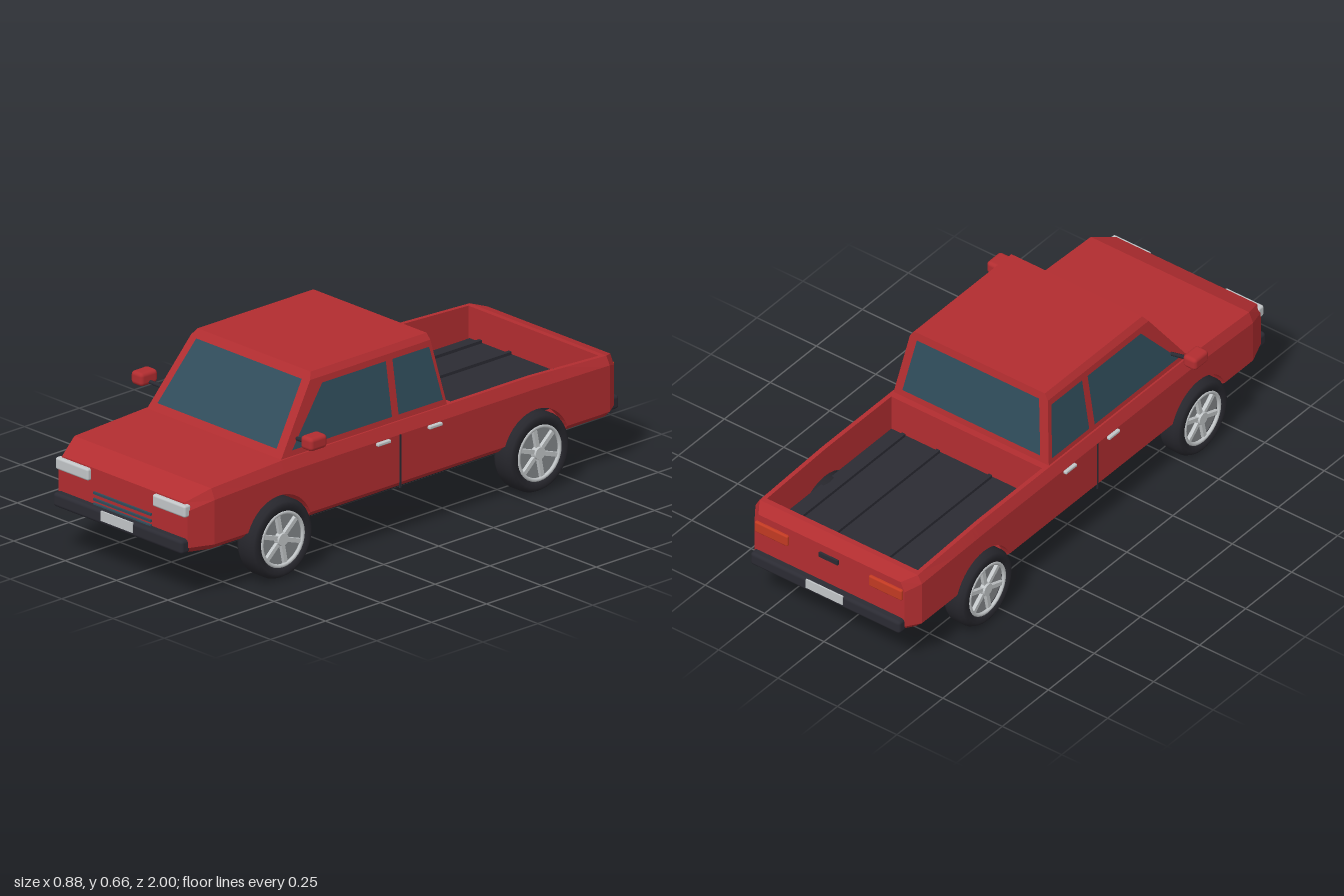
import * as THREE from 'three';
import { RoundedBoxGeometry } from 'three/addons/geometries/RoundedBoxGeometry.js';

const mat = (name, color, extra = {}) => Object.assign(new THREE.MeshStandardMaterial({ color, ...extra }), { name });

export function createModel() {
  const truck = new THREE.Group();
  truck.name = 'pickupTruck';
  const red = mat('redPaint', 0xb22d30);
  const glass = mat('glass', 0x304d5b, { side: THREE.DoubleSide });
  const dark = mat('darkTrim', 0x2b2b33);
  const black = mat('tyreRubber', 0x26262c);
  const light = mat('lightTrim', 0xc2c6c8);
  const grey = mat('rimGrey', 0x83878a);
  const lamp = mat('tailLamp', 0xc23a22);

  const add = (name, geo, material, x = 0, y = 0, z = 0, parent = truck) => {
    const m = new THREE.Mesh(geo, material);
    m.name = name;
    m.position.set(x, y, z);
    parent.add(m);
    return m;
  };
  const box = (name, material, w, h, d, x, y, z, r = 0) => add(name,
    r ? new RoundedBoxGeometry(w, h, d, 2, r) : new THREE.BoxGeometry(w, h, d), material, x, y, z);

  // Flat-shaded triangles from a list of corner points
  const facets = (tris) => {
    const g = new THREE.BufferGeometry();
    g.setAttribute('position', new THREE.Float32BufferAttribute(tris.flat(), 3));
    g.computeVertexNormals();
    return g;
  };
  const fan = (p) => p.slice(2).flatMap((q, i) => [p[0], p[i + 1], q]);
  // Capped skin over successive convex rings
  const loft = (rings) => {
    const t = [...fan([...rings[0]].reverse()), ...fan(rings[rings.length - 1])];
    for (let k = 0; k + 1 < rings.length; k++) {
      const a = rings[k], b = rings[k + 1], n = a.length;
      for (let i = 0; i < n; i++) {
        const j = (i + 1) % n;
        t.push(a[i], a[j], b[j], a[i], b[j], b[i]);
      }
    }
    return facets(t);
  };

  // Body stations: z, half width, shoulder height, top height
  const stations = [
    [-0.97, 0.316, 0.345, 0.38], [-0.92, 0.35, 0.365, 0.395], [-0.58, 0.35, 0.37, 0.41],
    [0.55, 0.35, 0.37, 0.41], [0.88, 0.35, 0.358, 0.395], [0.97, 0.314, 0.33, 0.357],
  ];
  const wheelZ = 0.585, hubY = 0.145, archR = 0.152;
  const section = (z) => {
    let i = 0;
    while (i < stations.length - 2 && z > stations[i + 1][0]) i++;
    const a = stations[i], b = stations[i + 1], f = (z - a[0]) / (b[0] - a[0]);
    const [, w, shoulder, top] = a.map((v, k) => v + (b[k] - v) * f);
    const d = Math.abs(Math.abs(z) - wheelZ);
    const bottom = d < archR ? Math.max(0.177, hubY + Math.sqrt(archR * archR - d * d)) : 0.177;
    return { w, shoulder, top, bottom };
  };
  const outer = (z) => {
    const { w, shoulder, top, bottom } = section(z);
    return [[w - 0.025, bottom, z], [w, Math.max(bottom, 0.2), z], [w, shoulder, z], [w - 0.017, top, z]];
  };
  const flip = (ring) => ring.map(([x, y, z]) => [-x, y, z]).reverse();
  const fullRing = (z) => [...outer(z), ...flip(outer(z))];
  const archZ = (c) => Array.from({ length: 19 }, (_, i) =>
    c - archR * Math.cos(0.21 + (Math.PI - 0.42) * i / 18));

  // Front body with wheel tunnel, tail panel and bed walls
  add('frontBody', loft([-0.225, ...archZ(wheelZ), 0.88, 0.97].map(fullRing)), red);
  add('tailgate', loft([-0.97, -0.92, -0.9].map(fullRing)), red);
  const wallRings = [-0.9, ...archZ(-wheelZ), -0.225].map((z) => {
    const { bottom, top } = section(z);
    return [[0.317, bottom, z], ...outer(z), [0.317, top, z]];
  });
  add('bedWallLeft', loft(wallRings), red);
  add('bedWallRight', loft(wallRings.map(flip)), red);
  for (const [z, d] of [[-0.82, 0.16], [-0.33, 0.2]]) box('bedUnderside', red, 0.636, 0.08, d, 0, 0.217, z);

  // Ribbed bed floor
  box('bedFloor', dark, 0.622, 0.02, 0.67, 0, 0.272, -0.567);
  for (const x of [-0.255, -0.11, 0.11, 0.255]) box('bedRib', dark, 0.014, 0.012, 0.66, x, 0.287, -0.567);

  // Cab shell
  const frontZ = (y) => 0.555 - 0.72 * (y - 0.41);
  const backZ = (y) => -0.2 + 0.18 * (y - 0.41);
  const sideX = (y) => 0.328 - 0.038 * (y - 0.4) / 0.24;
  const cabRing = ([y, x]) => [[x, y, frontZ(y)], [x, y, backZ(y)], [-x, y, backZ(y)], [-x, y, frontZ(y)]];
  add('cab', loft([[0.4, 0.328], [0.64, 0.29], [0.662, 0.275]].map(cabRing)), red);

  // Window plates lying just off the cab faces
  const pane = (name, pts) => add(name, facets(fan(pts)), glass);
  const screen = (name, zAt, off) => pane(name, [[-0.29, 0.435], [0.29, 0.435], [0.257, 0.637], [-0.257, 0.637]]
    .map(([x, y]) => [x * Math.sign(off), y, zAt(y) + off]));
  screen('windscreen', frontZ, 0.005);
  screen('rearWindow', backZ, -0.004);
  const frontWindow = [[0.505, 0.43], [0.05, 0.43], [0.05, 0.62], [0.34, 0.62]];
  const rearWindow = [[0.02, 0.43], [-0.182, 0.43], [-0.147, 0.62], [0.02, 0.62]];

  for (const s of [1, -1]) {
    const side = s > 0 ? 'left' : 'right';
    for (const [name, pts] of [['FrontWindow', frontWindow], ['RearWindow', rearWindow]]) {
      const p = pts.map(([z, y]) => [s * (sideX(y) + 0.003), y, z]);
      pane(side + name, s > 0 ? p : p.reverse());
    }
    // Door seam and handles
    box(side + 'DoorSeam', dark, 0.004, 0.19, 0.006, s * 0.35, 0.275, 0.035);
    for (const z of [0.115, -0.12]) box(side + 'DoorHandle', light, 0.016, 0.012, 0.06, s * 0.354, 0.362, z, 0.004);
    // Mirror on its arm
    box(side + 'Mirror', red, 0.056, 0.048, 0.078, s * 0.413, 0.482, 0.487, 0.014);
    const arm = new THREE.LineCurve3(new THREE.Vector3(s * 0.315, 0.462, 0.475), new THREE.Vector3(s * 0.395, 0.47, 0.487));
    add(side + 'MirrorArm', new THREE.TubeGeometry(arm, 1, 0.007, 8), dark);
    // Lamps
    box(side + 'Headlight', light, 0.16, 0.043, 0.03, s * 0.236, 0.331, 0.97, 0.008);
    box(side + 'TailLight', lamp, 0.14, 0.043, 0.024, s * 0.24, 0.331, -0.968, 0.006);
  }

  // Bumpers, plates, grille and tailgate handle
  for (const [end, s] of [['front', 1], ['rear', -1]]) {
    box(end + 'Bumper', dark, 0.63, 0.05, 0.04, 0, 0.206, s * 0.978, 0.012);
    box(end + 'Plate', light, 0.155, 0.035, 0.006, 0, 0.213, s * 0.997);
  }
  for (const y of [0.272, 0.249, 0.232]) box('grilleBar', glass, 0.28, 0.008, 0.012, 0, y, 0.971);
  box('tailgateHandle', dark, 0.08, 0.018, 0.014, 0, 0.34, -0.971);

  // Underbody
  box('chassis', dark, 0.525, 0.04, 1.535, 0, 0.157, 0, 0.01);

  // Wheels: tyre, rim barrel, recessed disc, spokes and hub, axle along x
  const tyreProfile = [[0.098, -0.04], [0.12, -0.046], [0.132, -0.04], [0.14, -0.025], [0.14, 0.025],
    [0.132, 0.04], [0.12, 0.046], [0.098, 0.04], [0.098, -0.04]].map(([r, y]) => new THREE.Vector2(r, y));
  const tyreGeo = new THREE.LatheGeometry(tyreProfile, 32).rotateZ(-Math.PI / 2);
  const discGeo = new THREE.CylinderGeometry(0.099, 0.099, 0.05, 32).rotateZ(-Math.PI / 2);
  const ringGeo = new THREE.TorusGeometry(0.094, 0.007, 8, 32).rotateY(Math.PI / 2);
  const hubGeo = new THREE.CylinderGeometry(0.022, 0.026, 0.022, 16).rotateZ(-Math.PI / 2);
  const spokeGeo = new THREE.BoxGeometry(0.016, 0.085, 0.015).translate(0, 0.05, 0);
  for (const s of [1, -1]) for (const z of [wheelZ, -wheelZ]) {
    const wheel = new THREE.Group();
    wheel.name = (z > 0 ? 'front' : 'rear') + (s > 0 ? 'Left' : 'Right') + 'Wheel';
    wheel.position.set(s * 0.326, hubY, z);
    wheel.rotation.y = s > 0 ? 0 : Math.PI;
    add('tyre', tyreGeo, black, 0, 0, 0, wheel);
    add('rimDisc', discGeo, grey, 0, 0, 0, wheel);
    add('rimRing', ringGeo, light, 0.037, 0, 0, wheel);
    add('hub', hubGeo, light, 0.034, 0, 0, wheel);
    for (let i = 0; i < 6; i++) add('spoke', spokeGeo, light, 0.03, 0, 0, wheel).rotation.x = i * Math.PI / 3 + 0.2;
    truck.add(wheel);
  }
  return truck;
}
